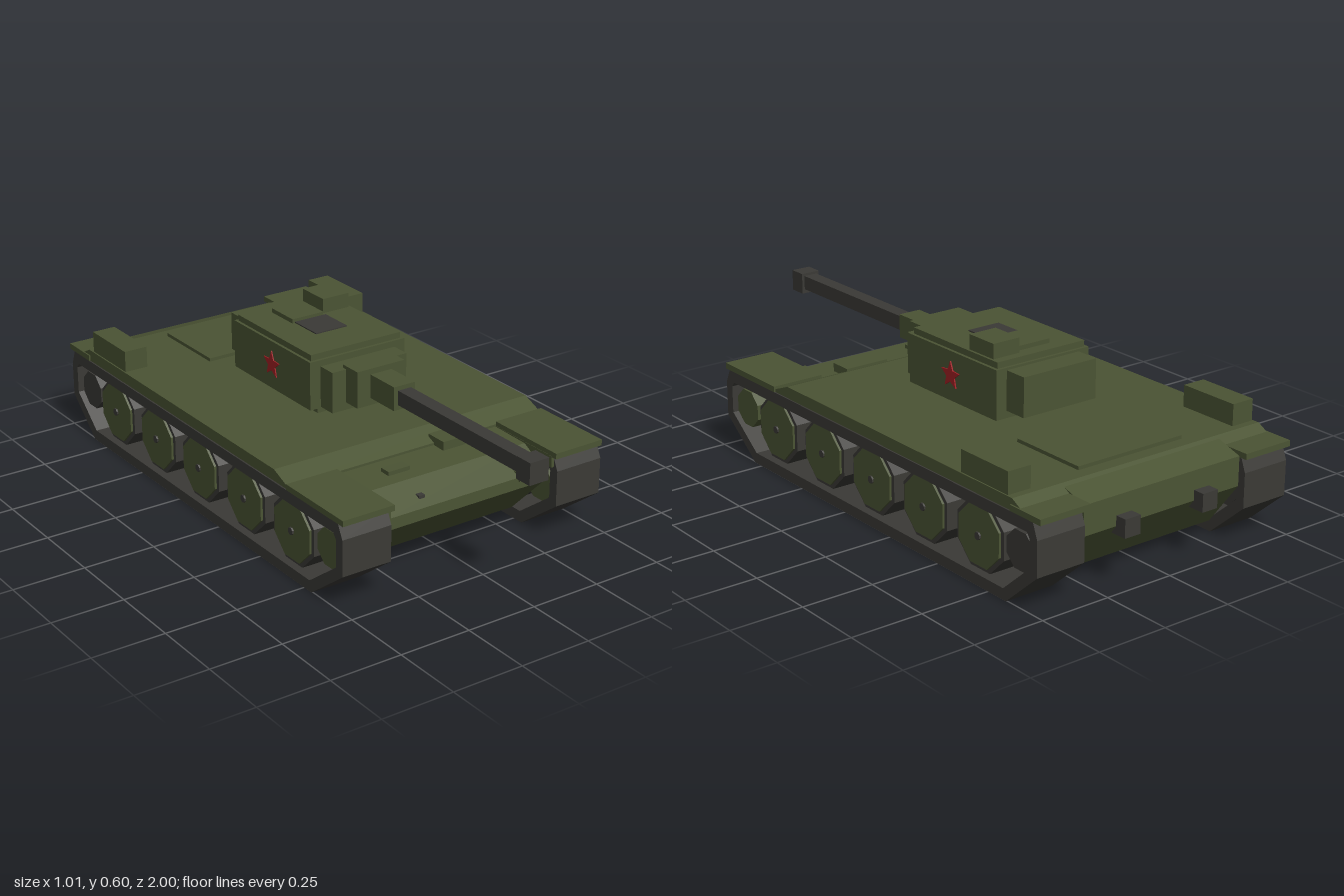
import * as THREE from 'three';

const flat = (name, color) => new THREE.MeshStandardMaterial({ name, color, flatShading: true });

export function createModel() {
  const green = flat('olive green', 0x4b5434);
  const dark = flat('dark steel', 0x3b3a36);
  const red = flat('red', 0xa01f24);
  const tank = new THREE.Group();
  tank.name = 'tank';

  const add = (name, geometry, material, parent = tank) => {
    const mesh = new THREE.Mesh(geometry, material);
    mesh.name = name;
    parent.add(mesh);
    return mesh;
  };

  // Box given by its limits on each axis
  const box = (name, material, [x0, x1], [y0, y1], [z0, z1], parent) => {
    const g = new THREE.BoxGeometry(x1 - x0, y1 - y0, Math.abs(z1 - z0));
    g.translate((x0 + x1) / 2, (y0 + y1) / 2, (z0 + z1) / 2);
    return add(name, g, material, parent);
  };

  // Side profile of [z, y] points, extruded across x around a centre
  const points = (list) => list.map(([z, y]) => new THREE.Vector2(z, y));
  const extrudeSide = (profile, width, x = 0, hole) => {
    const shape = new THREE.Shape(points(profile));
    if (hole) shape.holes.push(new THREE.Path(points(hole)));
    const g = new THREE.ExtrudeGeometry(shape, { depth: width, bevelEnabled: false });
    return g.translate(0, 0, -width / 2).rotateY(-Math.PI / 2).translate(x, 0, 0);
  };

  // Hull between the tracks, and the wide deck above them
  add('hull', extrudeSide([
    [0.5, 0.043], [0.655, 0.2], [0.655, 0.24], [0.555, 0.295], [0.405, 0.298], [0.33, 0.33],
    [-0.855, 0.333], [-0.96, 0.3], [-0.96, 0.2], [-0.84, 0.043],
  ], 0.63), green);
  add('deck', extrudeSide([
    [0.405, 0.295], [0.405, 0.306], [0.33, 0.336], [-0.855, 0.336], [-0.9, 0.312], [-0.9, 0.295],
  ], 1.0), green);
  box('engineCover', green, [-0.21, 0.21], [0.33, 0.348], [-0.81, -0.52]);

  // Bow fittings
  box('driverHatch', green, [0.062, 0.23], [0.28, 0.327], [0.375, 0.455]);
  box('bowPlate', green, [-0.19, -0.108], [0.28, 0.31], [0.465, 0.505]);
  box('bowGun', dark, [-0.16, -0.138], [0.228, 0.267], [0.54, 0.625]);
  box('headlampMount', green, [0.21, 0.273], [0.227, 0.255], [0.54, 0.663]);
  box('headlamp', dark, [0.21, 0.273], [0.255, 0.27], [0.54, 0.61]);

  // Running gear, fenders and stowage on both sides
  const wheel = (name, parent, x, y, z, radius, width, material) => {
    const g = new THREE.CylinderGeometry(radius, radius, width, 8, 1, false, Math.PI / 8);
    add(name, g.rotateZ(Math.PI / 2).translate(x, y, z), material, parent);
  };
  const trackOuter = [
    [0.54, 0], [0.707, 0.126], [0.707, 0.25], [0.685, 0.296],
    [-0.957, 0.296], [-0.977, 0.245], [-0.977, 0.126], [-0.835, 0],
  ];
  const trackInner = [
    [0.53, 0.038], [0.673, 0.145], [0.673, 0.24], [0.66, 0.257],
    [-0.93, 0.257], [-0.943, 0.24], [-0.943, 0.145], [-0.822, 0.038],
  ];
  for (const side of [-1, 1]) {
    const gear = new THREE.Group();
    gear.name = side > 0 ? 'leftRunningGear' : 'rightRunningGear';
    tank.add(gear);
    const span = (a, b) => (side > 0 ? [a, b] : [-b, -a]);

    add('track', extrudeSide(trackOuter, 0.18, side * 0.415, trackInner), dark, gear);
    for (const z of [0.415, 0.14, -0.137, -0.412, -0.688]) {
      wheel('roadWheelTyre', gear, side * 0.41, 0.157, z, 0.121, 0.15, dark);
      wheel('roadWheelDisc', gear, side * 0.412, 0.157, z, 0.106, 0.162, green);
      wheel('roadWheelHub', gear, side * 0.414, 0.157, z, 0.013, 0.17, dark);
    }
    wheel('idlerWheel', gear, side * 0.41, 0.175, 0.608, 0.068, 0.15, green);
    wheel('driveSprocket', gear, side * 0.41, 0.172, -0.875, 0.068, 0.15, dark);

    box('frontFender', green, span(0.315, 0.505), [0.296, 0.316], [0.405, 0.71], gear);
    box('rearFender', green, span(0.315, 0.505), [0.296, 0.316], [-0.99, -0.85], gear);
    box('fenderSkirt', green, span(0.314, 0.324), [0.26, 0.3], [0.405, 0.69], gear);
    box('stowageBox', green, span(0.41, 0.495), [0.33, 0.41], [-0.83, -0.605], gear);
    box('exhaust', dark, span(0.127, 0.188), [0.173, 0.235], [-1.0, -0.94], gear);
  }

  // Turret, stacked from plain blocks
  const turret = new THREE.Group();
  turret.name = 'turret';
  tank.add(turret);
  box('turretRing', green, [-0.15, 0.15], [0.33, 0.362], [-0.325, 0.055], turret);
  box('turretBody', green, [-0.189, 0.188], [0.36, 0.528], [-0.388, 0.07], turret);
  box('turretRoof', green, [-0.179, 0.177], [0.52, 0.549], [-0.378, 0.06], turret);
  box('turretFront', green, [-0.148, 0.147], [0.364, 0.506], [0.05, 0.137], turret);
  box('turretBustle', green, [-0.148, 0.147], [0.385, 0.52], [-0.473, -0.37], turret);
  box('cupola', green, [0.063, 0.168], [0.54, 0.6], [-0.347, -0.225], turret);
  box('roofHatch', green, [-0.074, 0.05], [0.54, 0.564], [-0.33, -0.205], turret);
  box('openHatch', dark, [-0.064, 0.06], [0.545, 0.553], [-0.205, -0.08], turret);

  // Gun
  box('mantlet', green, [-0.094, 0.092], [0.39, 0.517], [0.12, 0.2], turret);
  box('barrelSleeve', green, [-0.042, 0.041], [0.415, 0.497], [0.19, 0.328], turret);
  box('barrel', dark, [-0.026, 0.025], [0.432, 0.482], [0.32, 0.95], turret);
  box('muzzle', dark, [-0.037, 0.035], [0.417, 0.491], [0.937, 1.0], turret);

  // Red star on each turret side
  const star = Array.from({ length: 10 }, (_, i) => {
    const a = Math.PI / 2 + (i * Math.PI) / 5;
    const r = i % 2 ? 0.021 : 0.048;
    return [-0.155 + r * Math.cos(a), 0.447 + r * Math.sin(a)];
  });
  for (const side of [-1, 1]) {
    add('turretStar', extrudeSide(star, 0.006, side * 0.19), red, turret);
  }

  return tank;
}
